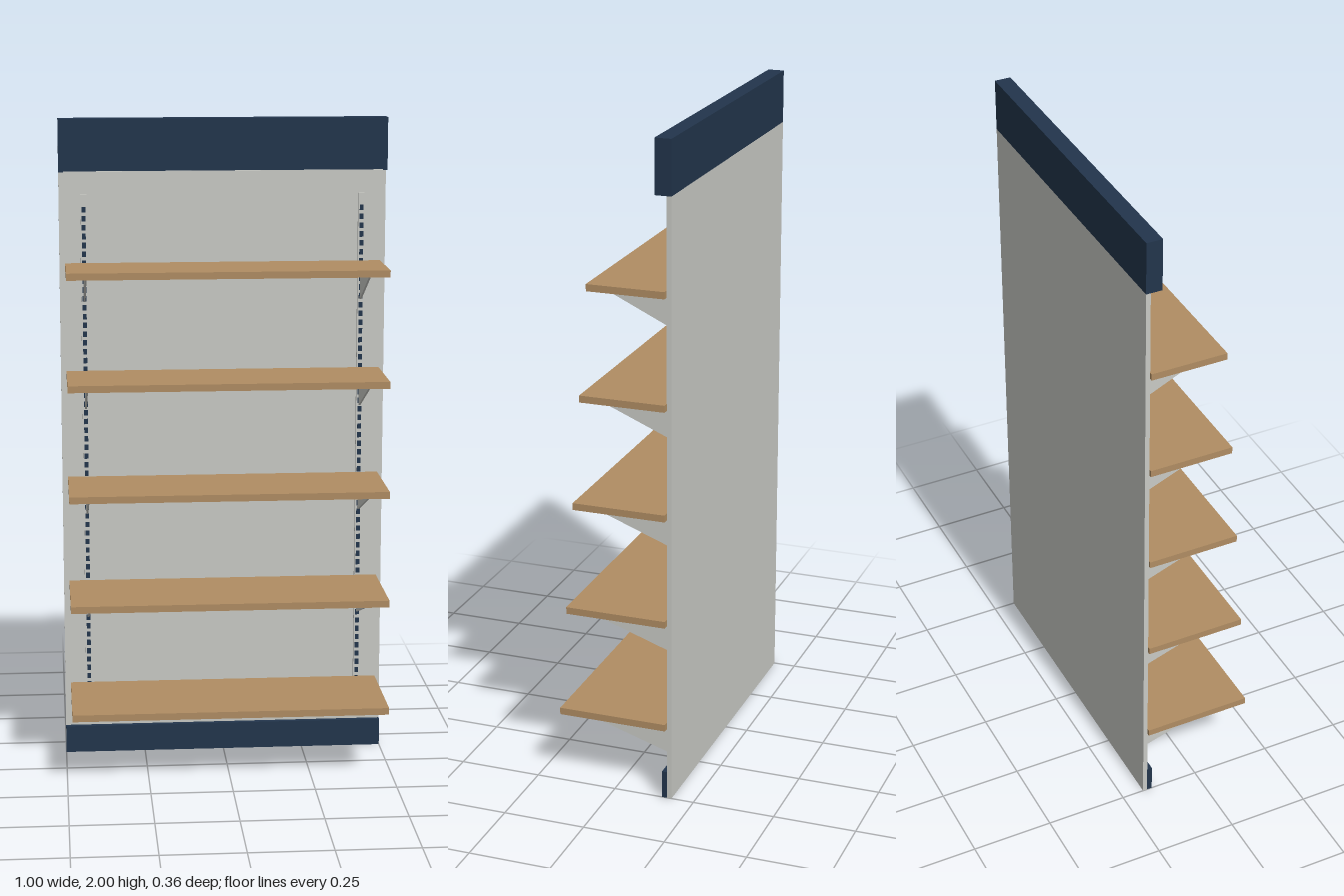
import * as THREE from 'three';

export function createModel() {
  const model = new THREE.Group();
  model.name = 'wallShelfUnit';

  const material = (name, color) => {
    const m = new THREE.MeshStandardMaterial({ color });
    m.name = name;
    return m;
  };
  const grey = material('light grey metal', 0xc9cac5);
  const navy = material('navy', 0x22354c);
  const wood = material('wood', 0xb08d63);

  // Box given by its lower and upper limits on each axis
  const box = (name, mat, [x0, x1], [y0, y1], [z0, z1], parent = model) => {
    const mesh = new THREE.Mesh(new THREE.BoxGeometry(x1 - x0, y1 - y0, z1 - z0), mat);
    mesh.position.set((x0 + x1) / 2, (y0 + y1) / 2, (z0 + z1) / 2);
    mesh.name = name;
    parent.add(mesh);
    return mesh;
  };

  // Back panel, header, header lip and kick plate
  box('backPanel', grey, [-0.5, 0.5], [0, 1.84], [-0.181, -0.167]);
  box('header', navy, [-0.5, 0.5], [1.84, 2], [-0.181, -0.132]);
  box('headerLip', grey, [-0.485, 0.485], [1.836, 1.843], [-0.167, -0.126]);
  box('kickPlate', navy, [-0.5, 0.5], [0, 0.085], [-0.167, -0.151]);

  // Slotted uprights
  const railX = 0.425, railFront = -0.154;
  const slotCount = 60, slotPitch = 0.0273;
  for (const side of [-1, 1]) {
    const upright = new THREE.Group();
    upright.name = side > 0 ? 'leftUpright' : 'rightUpright';
    model.add(upright);
    const x = side * railX;
    box('rail', grey, [x - 0.01, x + 0.01], [0.1, 1.77], [-0.167, railFront], upright);
    for (let i = 0; i < slotCount; i++) {
      const y = 0.106 + i * slotPitch;
      box('slot', navy, [x - 0.006, x + 0.006], [y, y + 0.017], [railFront - 0.001, railFront + 0.001], upright);
    }
  }

  // Shelves get shallower towards the top, each on two triangular brackets
  const bracketThickness = 0.006;
  for (let i = 0; i < 5; i++) {
    const top = 0.23 + i * 0.333, under = top - 0.021;
    const front = 0.181 - i * 0.025;
    const shelf = new THREE.Group();
    shelf.name = 'shelf' + (i + 1);
    model.add(shelf);
    box('board', wood, [-0.483, 0.483], [under, top], [railFront, front], shelf);

    // Profile drawn as (-z, y), turned so that its front points to +z
    const profile = new THREE.Shape([
      new THREE.Vector2(-railFront, under),
      new THREE.Vector2(-front + 0.033, under),
      new THREE.Vector2(-front + 0.033, under - 0.004),
      new THREE.Vector2(-railFront, under - 0.099),
    ]);
    const geometry = new THREE.ExtrudeGeometry(profile, { depth: bracketThickness, bevelEnabled: false });
    geometry.translate(0, 0, -bracketThickness / 2).rotateY(Math.PI / 2);
    for (const side of [-1, 1]) {
      const bracket = new THREE.Mesh(geometry, grey);
      bracket.name = 'bracket';
      bracket.position.x = side * railX;
      shelf.add(bracket);
    }
  }

  return model;
}
